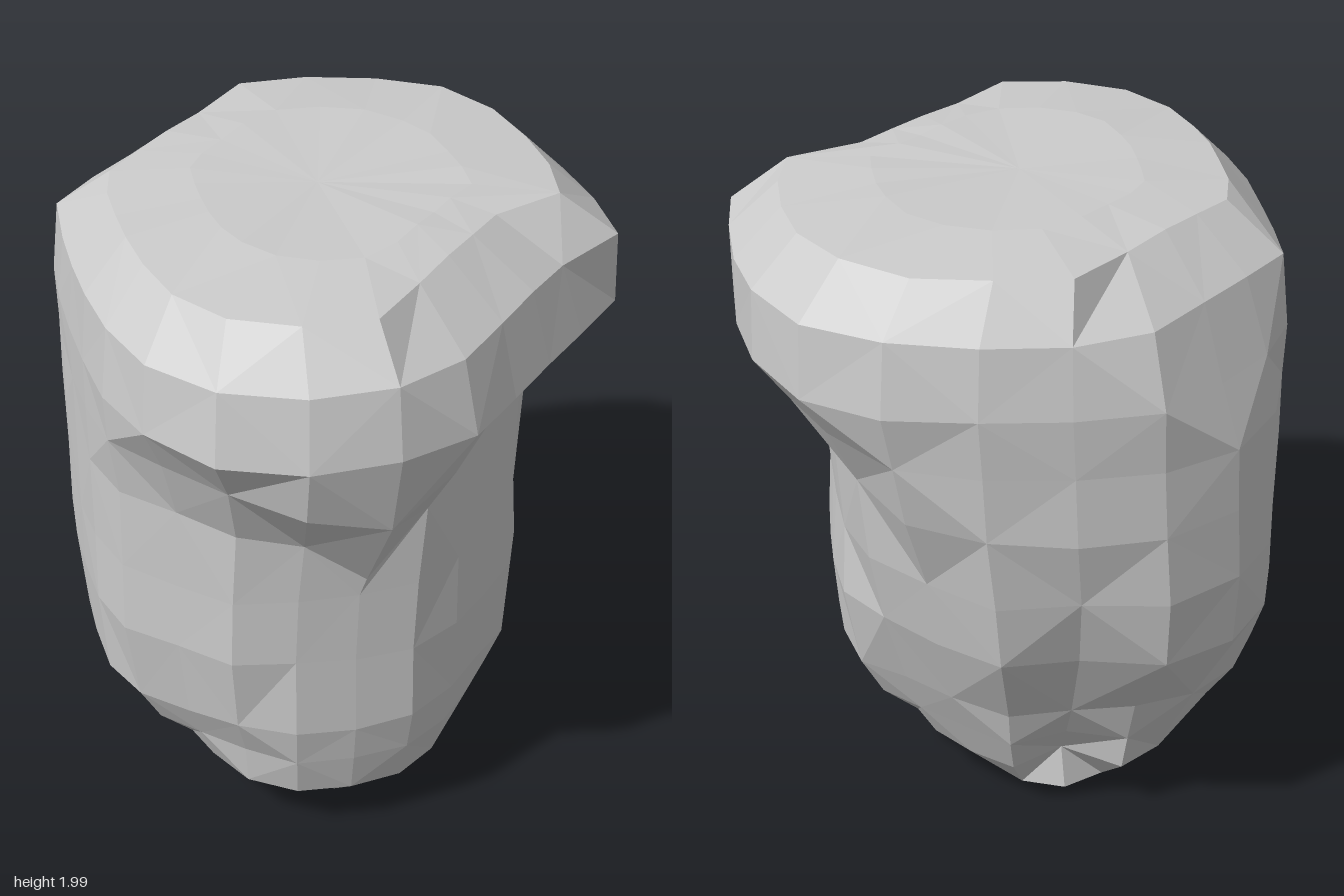
import * as THREE from 'three';

const SIDES = 24;

// Height at which the overhanging cap begins, for each side from +x towards +z
const NECK = [
  1.25, 1.31, 1.42, 1.53, 1.4, 1.24, 1.03, 1.17, 1.22, 1.25, 1.25, 1.25,
  1.25, 1.25, 1.23, 1.21, 1.2, 1.2, 1.2, 1.2, 1.22, 1.25, 1.28, 1.26,
];

// Cross-sections: height, centre x, [right, left, front, back], squareness and
// limits on |x|+|z| that slice the corners [front right, front left, back left, back right]
const FREE = 9;
const SECTIONS = [
  [0.005, -0.14, [-0.02, -0.25, 0.25, -0.3], 2.1, [FREE, FREE, FREE, FREE]],
  [0.04, -0.14, [0.13, -0.4, 0.5, -0.55], 2.2, [FREE, FREE, FREE, FREE]],
  [0.18, -0.13, [0.33, -0.58, 0.66, -0.69], 2.4, [0.72, FREE, FREE, 0.66]],
  [0.32, -0.13, [0.46, -0.71, 0.69, -0.71], 2.5, [0.78, 1.0, FREE, 0.76]],
  [0.46, -0.13, [0.55, -0.82, 0.71, -0.75], 2.6, [0.82, 1.1, FREE, 0.86]],
  [0.73, -0.13, [0.57, -0.84, 0.71, -0.96], 2.7, [0.84, 1.16, FREE, 1.0]],
  [0.97, -0.12, [0.555, -0.84, 0.71, -1], 2.7, [0.83, 1.16, FREE, 1.07]],
  ['neck', -0.1, [0.58, -0.84, 0.72, -1], 2.7, [0.84, 1.17, FREE, FREE]],
  ['underside', -0.09, [0.72, -0.84, 0.94, -1], 2.7, [0.97, 1.28, FREE, FREE]],
  [1.6, -0.08, [0.84, -0.84, 1, -1], 2.9, [1.08, FREE, 1.34, FREE]],
  [1.82, -0.08, [0.84, -0.82, 0.96, -0.97], 2.9, [0.99, FREE, 1.22, FREE]],
  [1.965, -0.1, [0.69, -0.68, 0.82, -0.85], 2.8, [0.71, FREE, 0.95, FREE]],
  [1.99, -0.05, [0.4, -0.42, 0.5, -0.55], 2.6, [0.5, FREE, 0.65, FREE]],
];

// Small repeatable irregularity
let seed = 7;
function wobble(size) {
  seed = (seed * 16807) % 2147483647;
  return (seed / 2147483647 - 0.5) * 2 * size;
}

// Rounded-square outline at even angles, with sliced corners
function ring([height, cx, [right, left, front, back], power, limits]) {
  return Array.from({ length: SIDES }, (_, i) => {
    const t = (i / SIDES) * Math.PI * 2;
    const c = Math.cos(t);
    const s = Math.sin(t);
    const u = Math.abs(c / (c > 0 ? right - cx : left - cx));
    const v = Math.abs(s / (s > 0 ? front : back));
    // The front right slice bends outwards beside the right side
    const limit = limits[Math.floor((i * 4) / SIDES)] * (i < 2 ? 1.2 : 1);
    const slice = (limit - Math.sign(c) * cx) / (Math.abs(c) + Math.abs(s));
    const r = Math.min((u ** power + v ** power) ** (-1 / power), slice) * (0.996 + wobble(0.004));
    let y = height;
    if (height === 'neck') y = NECK[i];
    if (height === 'underside') y = THREE.MathUtils.lerp(NECK[i], 1.6, 0.54);
    const rough = y > 0.1 && y < 1.9 ? 0.01 : 0.005;
    return new THREE.Vector3(cx + r * c, y + wobble(rough), r * s);
  });
}

function rockGeometry() {
  const rings = SECTIONS.map(ring);
  const corners = [];
  const bottom = new THREE.Vector3(-0.14, 0, 0);
  const top = new THREE.Vector3(-0.05, 1.98, -0.03);
  for (let i = 0; i < SIDES; i++) {
    const n = (i + 1) % SIDES;
    corners.push(bottom, rings[0][i], rings[0][n]);
    // Side facets, with alternating diagonals
    for (let r = 0; r < rings.length - 1; r++) {
      const a = rings[r][i];
      const b = rings[r][n];
      const c = rings[r + 1][i];
      const d = rings[r + 1][n];
      if ((i + r) % 2) corners.push(a, c, b, b, c, d);
      else corners.push(a, c, d, a, d, b);
    }
    const last = rings[rings.length - 1];
    corners.push(top, last[n], last[i]);
  }
  const geometry = new THREE.BufferGeometry().setFromPoints(corners);
  geometry.computeVertexNormals();
  return geometry;
}

export function createModel() {
  const group = new THREE.Group();
  group.name = 'boulder';
  const stone = new THREE.MeshStandardMaterial({ color: 0xcccccc, flatShading: true });
  const rock = new THREE.Mesh(rockGeometry(), stone);
  rock.name = 'rock';
  group.add(rock);
  return group;
}
